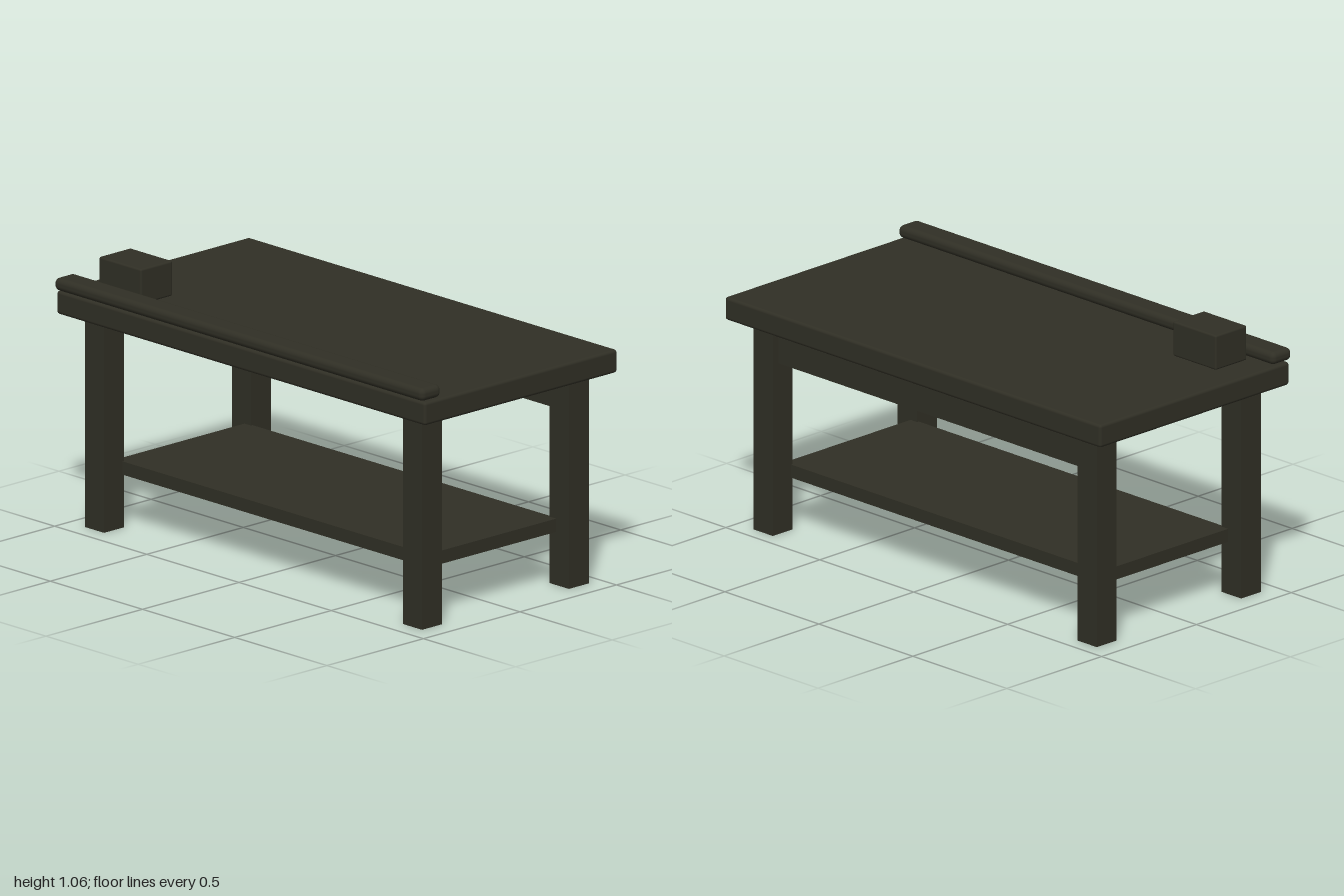
import * as THREE from 'three';
import { RoundedBoxGeometry } from 'three/addons/geometries/RoundedBoxGeometry.js';

export function createModel() {
  const model = new THREE.Group();
  model.name = 'workbench';
  const wood = new THREE.MeshStandardMaterial({ color: 0x302f25 });
  wood.name = 'dark wood';

  // Adds a box spanning two corners, with optional rounded edges
  function addBox(name, [x0, y0, z0], [x1, y1, z1], radius = 0, segments = 2) {
    const size = [x1 - x0, y1 - y0, z1 - z0];
    const geometry = radius
      ? new RoundedBoxGeometry(...size, segments, radius)
      : new THREE.BoxGeometry(...size);
    const mesh = new THREE.Mesh(geometry, wood);
    mesh.name = name;
    mesh.position.set((x0 + x1) / 2, (y0 + y1) / 2, (z0 + z1) / 2);
    model.add(mesh);
  }

  // Work surface
  addBox('tabletop', [-1, 0.83, -0.507], [1, 0.921, 0.492], 0.012);

  // Four square legs
  for (const [side, x] of [['left', 0.862], ['right', -0.862]]) {
    for (const [end, z] of [['Front', 0.373], ['Back', -0.388]]) {
      addBox(`${side}${end}Leg`, [x - 0.052, 0, z - 0.052], [x + 0.052, 0.823, z + 0.052]);
    }
  }

  // Rail between the back legs and the lower shelf
  addBox('backApron', [-0.83, 0.68, -0.41], [0.83, 0.8, -0.365]);
  addBox('lowerShelf', [-0.845, 0.208, -0.344], [0.845, 0.26, 0.33]);

  // Rounded rail along the front edge, and the block behind it
  addBox('frontRail', [-1, 0.925, 0.404], [1, 0.975, 0.507], 0.021, 3);
  addBox('block', [-0.875, 0.922, 0.226], [-0.646, 1.06, 0.391], 0.008);

  return model;
}
